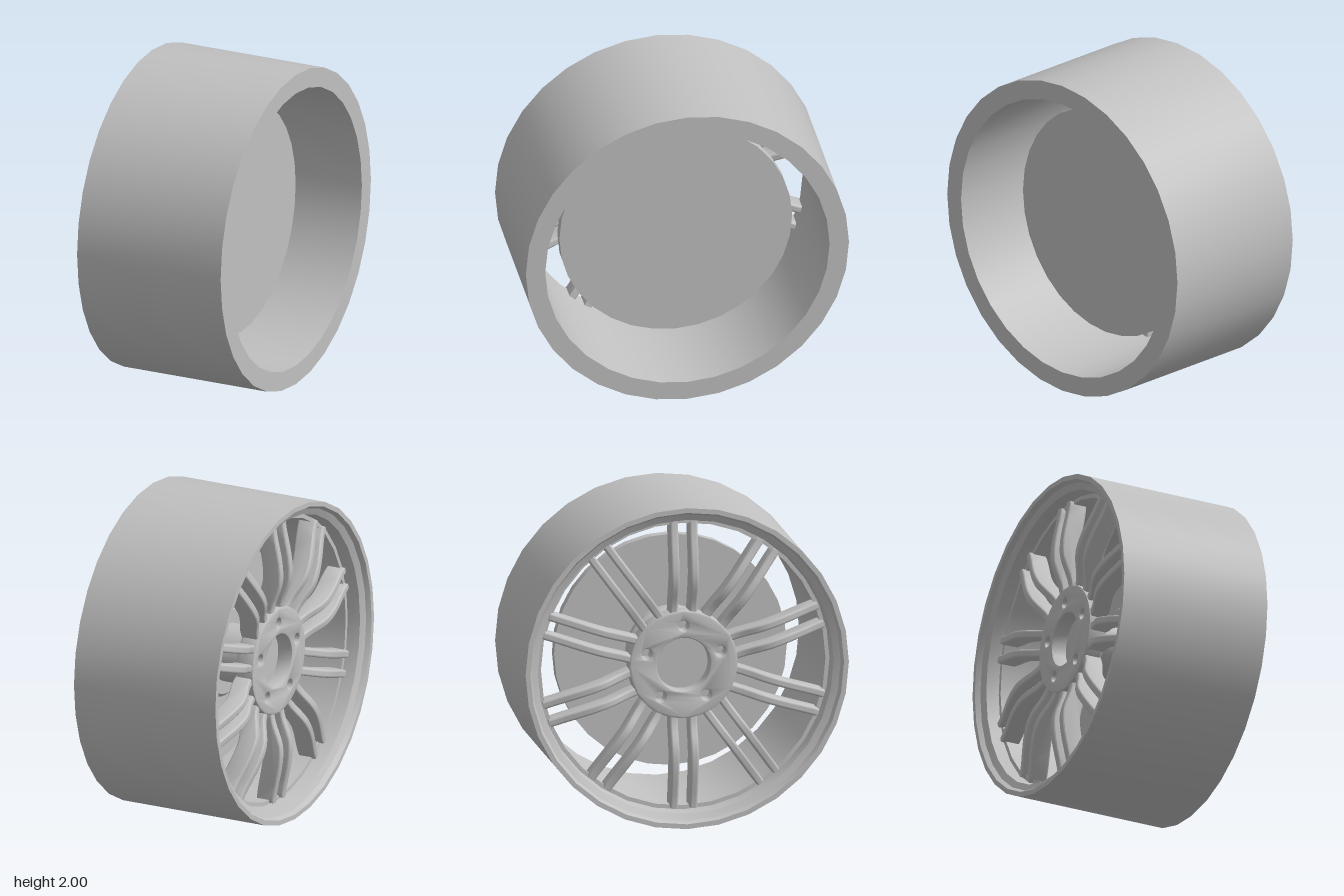
import * as THREE from 'three';
import { toCreasedNormals } from 'three/addons/utils/BufferGeometryUtils.js';

export function createModel() {
  const model = new THREE.Group();
  model.name = 'wheel';
  const metal = new THREE.MeshStandardMaterial({ color: 0xc0c0c0 });
  metal.name = 'greyMetal';

  // The axle lies along x; everything is built around it, then raised to y = 1.
  const wheel = new THREE.Group();
  wheel.name = 'wheelAssembly';
  wheel.position.y = 1;
  model.add(wheel);

  function add(name, geometry, parent = wheel) {
    const mesh = new THREE.Mesh(geometry, metal);
    mesh.name = name;
    parent.add(mesh);
    return mesh;
  }

  // Turns a profile of [radius, x] points around the axle
  function turned(profile) {
    const g = new THREE.LatheGeometry(profile.map(([r, x]) => new THREE.Vector2(r, x)), 32);
    g.rotateZ(-Math.PI / 2);
    return toCreasedNormals(g, 0.5);
  }

  // Barrel with a flared lip and a shallow step on the spoked side
  add('rimBarrel', turned([
    [0.97, -0.49], [1, -0.49], [1, 0.49], [0.88, 0.49], [0.88, -0.36],
    [0.905, -0.36], [0.915, -0.44], [0.955, -0.46], [0.97, -0.49],
  ]));

  // Brake disc with its raised hat
  add('brakeDisc', turned([
    [0, -0.03], [0.26, -0.03], [0.28, -0.01], [0.28, 0.05],
    [0.72, 0.05], [0.72, 0.12], [0, 0.12],
  ]));

  // Axle between hat and hub
  add('axle', turned([[0, -0.27], [0.18, -0.27], [0.18, 0], [0, 0]]));

  // Hub plate with a centre bore and five bolt holes
  const plate = new THREE.Shape().absarc(0, 0, 0.325, 0, Math.PI * 2);
  const hole = (x, y, r) => plate.holes.push(new THREE.Path().absarc(x, y, r, 0, Math.PI * 2, true));
  hole(0, 0, 0.175);
  for (let i = 0; i < 5; i++) {
    const a = Math.PI / 2 + i * Math.PI * 0.4;
    hole(0.24 * Math.cos(a), 0.24 * Math.sin(a), 0.042);
  }
  const hub = new THREE.ExtrudeGeometry(plate, {
    depth: 0.09, bevelThickness: 0.012, bevelSize: 0.01, bevelSegments: 2, curveSegments: 24,
  });
  hub.rotateY(-Math.PI / 2);
  hub.translate(-0.28, 0, 0);
  add('hubPlate', toCreasedNormals(hub, 0.6));
  add('hubBack', turned([[0, -0.285], [0.32, -0.285], [0.28, -0.24], [0, -0.24]]));

  // Spoke side outline: shape x is the radius, shape y is the axle direction
  const outline = new THREE.Shape();
  outline.moveTo(0.29, -0.36);
  outline.bezierCurveTo(0.42, -0.36, 0.46, -0.43, 0.58, -0.425);
  outline.bezierCurveTo(0.7, -0.42, 0.78, -0.385, 0.882, -0.375);
  outline.lineTo(0.882, -0.28);
  outline.bezierCurveTo(0.76, -0.29, 0.68, -0.32, 0.58, -0.325);
  outline.bezierCurveTo(0.48, -0.33, 0.42, -0.27, 0.29, -0.27);
  outline.closePath();
  const bar = new THREE.ExtrudeGeometry(outline, {
    depth: 0.02, bevelThickness: 0.015, bevelSize: 0.012, bevelSegments: 3, curveSegments: 10,
  });
  bar.translate(0, 0, -0.01);
  bar.applyMatrix4(new THREE.Matrix4().makeBasis(
    new THREE.Vector3(0, 1, 0), new THREE.Vector3(1, 0, 0), new THREE.Vector3(0, 0, -1)));
  const spokeGeometry = toCreasedNormals(bar, 0.7);

  // Ten pairs of parallel spokes
  for (let i = 0; i < 10; i++) {
    const pair = new THREE.Group();
    pair.name = 'spokePair' + (i + 1);
    pair.rotation.x = i * Math.PI / 5;
    for (const side of [-1, 1]) add('spoke', spokeGeometry, pair).position.z = side * 0.06;
    wheel.add(pair);
  }
  return model;
}
